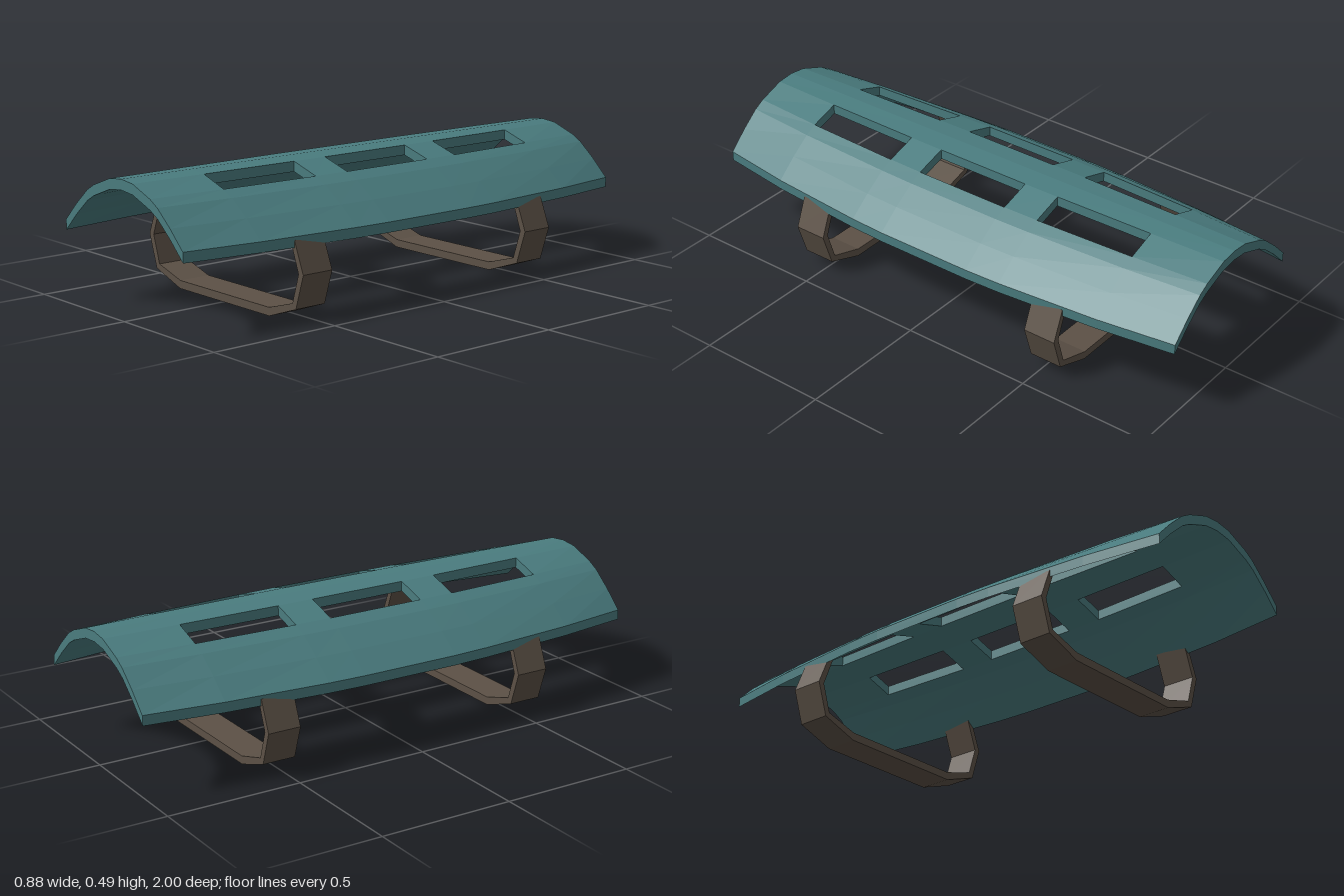
import * as THREE from 'three';

const shellMaterial = new THREE.MeshStandardMaterial({ color: 0x4a7c7f, flatShading: true });
const strapMaterial = new THREE.MeshStandardMaterial({ color: 0x5c5146, flatShading: true });

// Half of the arched section: [fraction of half width, height of upper face]
const arch = [[0, 0.486], [0.195, 0.479], [0.48, 0.443], [0.6, 0.42], [0.8, 0.363], [1, 0.297]];
const section = [...arch.slice(1).reverse().map(([u, y]) => [-u, y]), ...arch];
const stations = [-1, -0.715, -0.33, -0.19, 0.19, 0.33, 0.715, 1];
const thickness = 0.037;
const halfWidth = (z) => 0.425 - 0.083 * z * z;

// Arched plate, wider in the middle, with two rows of three windows
function createShell() {
  const columns = section.length - 1;
  const rows = stations.length - 1;
  const isSolid = (i, j) => {
    if (i < 0 || j < 0 || i >= columns || j >= rows) return false;
    return !((i === 3 || i === 6) && j % 2 === 1);
  };
  const point = (i, j, lower) => {
    const [u, y] = section[i];
    return [u * halfWidth(stations[j]), y - (lower ? thickness : 0), stations[j]];
  };
  const positions = [];
  const quad = (a, b, c, d) => positions.push(...a, ...b, ...c, ...a, ...c, ...d);

  for (let i = 0; i < columns; i++) {
    for (let j = 0; j < rows; j++) {
      if (!isSolid(i, j)) continue;
      const corners = [[i, j], [i, j + 1], [i + 1, j + 1], [i + 1, j]];
      const top = corners.map(([a, b]) => point(a, b, false));
      const bottom = corners.map(([a, b]) => point(a, b, true));
      quad(...top);
      quad(...bottom.slice().reverse());
      // Rim walls wherever the neighbouring cell is open
      const neighbours = [[i - 1, j], [i, j + 1], [i + 1, j], [i, j - 1]];
      neighbours.forEach(([a, b], k) => {
        const n = (k + 1) % 4;
        if (!isSolid(a, b)) quad(top[k], bottom[k], bottom[n], top[n]);
      });
    }
  }
  const geometry = new THREE.BufferGeometry();
  geometry.setAttribute('position', new THREE.Float32BufferAttribute(positions, 3));
  geometry.computeVertexNormals();
  const shell = new THREE.Mesh(geometry, shellMaterial);
  shell.name = 'archedShell';
  return shell;
}

// Open angular band hanging below the shell
function createStrap(z, name) {
  const outer = [[0.395, 0.285], [0.44, 0.174], [0.4, 0.05], [0.257, 0]];
  const inner = [[0.255, 0.03], [0.382, 0.068], [0.415, 0.173], [0.373, 0.285]];
  const mirror = (list) => list.map(([x, y]) => [-x, y]).reverse();
  const outline = [...outer, ...mirror(outer), ...mirror(inner), ...inner];
  const shape = new THREE.Shape(outline.map(([x, y]) => new THREE.Vector2(x, y)));
  const depth = 0.125;
  const geometry = new THREE.ExtrudeGeometry(shape, { depth, bevelEnabled: false });
  geometry.translate(0, 0, -depth / 2);
  const strap = new THREE.Mesh(geometry, strapMaterial);
  strap.position.z = z;
  strap.name = name;
  return strap;
}

export function createModel() {
  const group = new THREE.Group();
  group.name = 'forearmGuard';
  group.add(createShell());
  group.add(createStrap(0.522, 'frontStrap'), createStrap(-0.522, 'backStrap'));
  return group;
}
